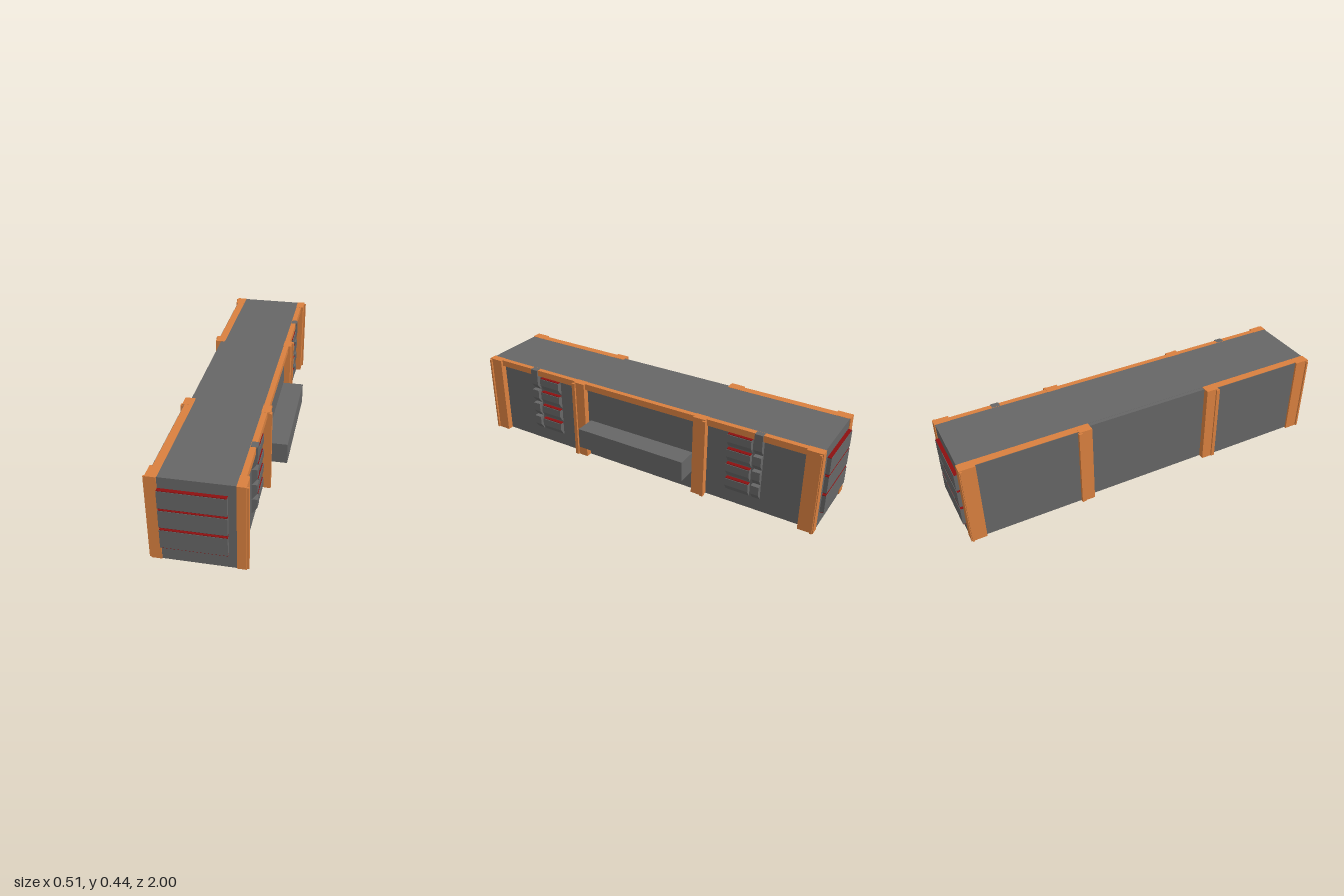
import * as THREE from 'three';

const grey = new THREE.MeshStandardMaterial({ color: 0x666666, flatShading: true });
const orange = new THREE.MeshStandardMaterial({ color: 0xd9803f, flatShading: true });
const red = new THREE.MeshStandardMaterial({ color: 0x8c1010, flatShading: true });

// Box given by its limits on each axis
function block(parent, name, material, [x0, x1], [y0, y1], [z0, z1]) {
  const mesh = new THREE.Mesh(new THREE.BoxGeometry(x1 - x0, y1 - y0, Math.abs(z1 - z0)), material);
  mesh.position.set((x0 + x1) / 2, (y0 + y1) / 2, (z0 + z1) / 2);
  mesh.name = name;
  parent.add(mesh);
  return mesh;
}

// Side slat: upright face above, sloping back underneath
function slat(parent, name, y0, y1, z0, z1, depth) {
  const shape = new THREE.Shape();
  shape.moveTo(0.14, y0);
  shape.lineTo(0.148, y0);
  shape.lineTo(depth, y0 + 0.033);
  shape.lineTo(depth, y1);
  shape.lineTo(0.14, y1);
  const geometry = new THREE.ExtrudeGeometry(shape, { depth: Math.abs(z1 - z0), bevelEnabled: false });
  const mesh = new THREE.Mesh(geometry, grey);
  mesh.position.z = Math.min(z0, z1);
  mesh.name = name;
  parent.add(mesh);
}

export function createModel() {
  const model = new THREE.Group();
  model.name = 'container';

  // Main hull, with a shallow middle panel on the -x side
  block(model, 'hull', grey, [-0.2, 0.145], [0, 0.441], [-0.98, 0.98]);
  block(model, 'middlePanel', grey, [-0.22, -0.2], [0, 0.44], [-0.34, 0.34]);

  // Top rail and storage box on the +x side
  block(model, 'topRail', orange, [0.138, 0.165], [0.408, 0.4415], [-0.975, 0.975]);
  block(model, 'sideBox', grey, [0.14, 0.257], [0.107, 0.217], [-0.315, 0.315]);

  for (const s of [-1, 1]) {
    // Orange-edged side slabs with grey outer panels
    block(model, 'sideSlab', orange, [-0.238, -0.198], [0.001, 0.4415], [s * 0.34, s * 0.975]);
    block(model, 'sidePanel', grey, [-0.24, -0.238], [0.002, 0.44], [s * 0.34, s * 0.975]);

    // Corner and middle posts, each with a raised rib on both flanks
    for (const [a, b] of [[0.905, 0.984], [0.328, 0.395]]) {
      const post = new THREE.Group();
      post.name = a > 0.5 ? 'cornerPost' : 'middlePost';
      block(post, 'postCore', orange, [-0.25, -0.2], [0, 0.442], [s * a, s * b]);
      block(post, 'postCore', orange, [0.136, 0.178], [0, 0.442], [s * a, s * b]);
      const rib = [s * (b - 0.014), s * (b + (a > 0.5 ? -0.004 : 0.005))];
      block(post, 'postRib', orange, [-0.258, -0.242], [0.003, 0.437], rib);
      block(post, 'postRib', orange, [0.17, 0.188], [0.003, 0.437], rib);
      model.add(post);
    }

    // End louvres with red edges
    for (const [y0, y1] of [[0.077, 0.178], [0.188, 0.284], [0.291, 0.386]]) {
      block(model, 'endLouvre', grey, [-0.2, 0.1], [y0 + 0.003, y1 - 0.003], [s * 0.97, s]);
      for (const y of [y0, y1 - 0.003])
        block(model, 'louvreEdge', red, [-0.199, 0.1], [y, y + 0.003], [s * 0.97, s * 0.998]);
    }

    // Side vents: four slats beside a notched column
    for (let i = 0; i < 4; i++) {
      const y = 0.073 + i * 0.083;
      slat(model, 'ventSlat', y, y + 0.073, s * 0.51, s * 0.635, 0.17);
      block(model, 'ventEdge', red, [0.14, 0.166], [y + 0.073, y + 0.076], [s * 0.511, s * 0.634]);
      slat(model, 'ventColumn', y, i === 3 ? 0.442 : y + 0.08, s * 0.65, s * 0.692, 0.172);
    }
  }
  return model;
}
